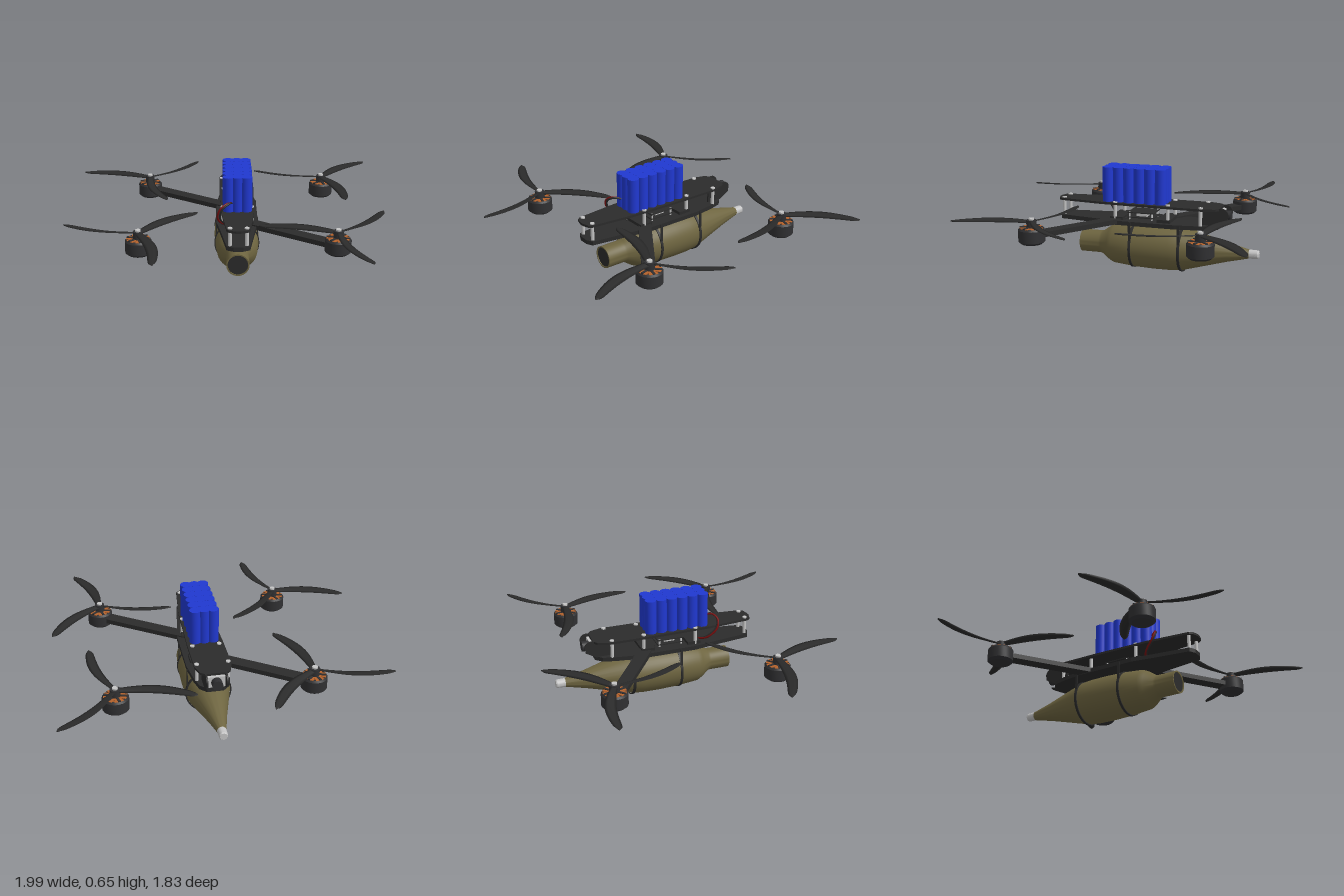
import * as THREE from 'three';
import { toCreasedNormals } from 'three/addons/utils/BufferGeometryUtils.js';

const material = (name, color) => new THREE.MeshStandardMaterial({ name, color });

export function createModel() {
  const mats = {
    carbon: material('carbon black', 0x2b2b2b),
    rubber: material('motor black', 0x303032),
    olive: material('olive paint', 0x6e6540),
    blue: material('battery blue', 0x2038d0),
    metal: material('light metal', 0xc4c4c4),
    copper: material('copper windings', 0xb4622c),
    red: material('red wire', 0x7a1010),
  };
  const CX = 0.055; // centre line of the body
  const model = new THREE.Group();
  model.name = 'quadcopter';

  const add = (parent, name, geometry, mat, x = 0, y = 0, z = 0) => {
    const mesh = new THREE.Mesh(geometry, mat);
    mesh.name = name;
    mesh.position.set(x, y, z);
    parent.add(mesh);
    return mesh;
  };
  const box = (w, h, d) => new THREE.BoxGeometry(w, h, d);
  const cyl = (r, h, n = 16) => new THREE.CylinderGeometry(r, r, h, n);
  const lathe = (pts, n = 48) => toCreasedNormals(
    new THREE.LatheGeometry(pts.map(([r, y]) => new THREE.Vector2(r, y)), n), 0.45);

  // Frame plates: symmetric outline given as [half width, z]
  const plate = (name, outline, top, thickness) => {
    const right = outline.map(([w, z]) => new THREE.Vector2(w, z));
    const left = outline.map(([w, z]) => new THREE.Vector2(-w, z)).reverse();
    const geo = new THREE.ExtrudeGeometry(new THREE.Shape([...right, ...left]),
      { depth: thickness, bevelEnabled: false });
    geo.rotateX(Math.PI / 2);
    add(model, name, geo, mats.carbon, CX, top, 0);
  };
  plate('topPlate', [[0.06, -0.55], [0.09, -0.53], [0.112, -0.46], [0.112, -0.2],
    [0.1, 0.2], [0.07, 0.48], [0.055, 0.5], [0.015, 0.512]], 0.432, 0.014);
  plate('bottomPlate', [[0.05, -0.54], [0.09, -0.5], [0.11, -0.42], [0.13, -0.28],
    [0.13, 0.1], [0.105, 0.24], [0.07, 0.48], [0.03, 0.5]], 0.325, 0.026);

  // Standoffs with screw heads
  for (const [w, z] of [[0.095, -0.44], [0.083, -0.23], [0.09, 0.11], [0.05, 0.468]]) {
    for (const side of [-1, 1]) {
      add(model, 'standoff', cyl(0.011, 0.095), mats.metal, CX + side * w, 0.371, z);
      add(model, 'screwHead', cyl(0.014, 0.008), mats.metal, CX + side * w, 0.435, z);
    }
  }

  // Two diagonal arms
  for (const [x0, z0, x1, z1] of [[-0.535, -0.57, 0.04, -0.175], [0.645, 0.45, 0.07, 0.055]]) {
    const arm = add(model, 'arm', box(Math.hypot(x1 - x0, z1 - z0), 0.03, 0.08),
      mats.carbon, (x0 + x1) / 2, 0.318, (z0 + z1) / 2);
    arm.rotation.y = -Math.atan2(z1 - z0, x1 - x0);
  }

  // Curved, twisted blade lofted from lens-shaped sections along +x
  const bladeGeometry = (dir) => {
    const pos = [], idx = [], N = 22, K = 6;
    for (let i = 0; i <= N; i++) {
      const t = i / N;
      const r = 0.012 + 0.463 * t;
      const centre = dir * 0.034 * Math.sin(Math.PI * Math.min(1, t * 1.02));
      const taper = t > 0.88 ? Math.sqrt(Math.max(0.03, 1 - ((t - 0.88) / 0.12) ** 2)) : 1;
      const chord = (0.034 + 0.034 * Math.sin(Math.PI * Math.min(1, t * 0.9 + 0.02))) * taper;
      const pitch = dir * (0.28 - 0.2 * t);
      for (let k = 0; k < K; k++) {
        const a = (k / K) * Math.PI * 2;
        const u = Math.cos(a) * chord / 2, v = Math.sin(a) * 0.004;
        pos.push(r, u * Math.sin(pitch) + v * Math.cos(pitch),
          centre + u * Math.cos(pitch) - v * Math.sin(pitch));
      }
    }
    for (let i = 0; i < N; i++) for (let k = 0; k < K; k++) {
      const a = i * K + k, b = i * K + (k + 1) % K;
      idx.push(a, a + K, b, b, a + K, b + K);
    }
    for (let k = 1; k < K - 1; k++) idx.push(N * K, N * K + k + 1, N * K + k);
    const geo = new THREE.BufferGeometry();
    geo.setAttribute('position', new THREE.Float32BufferAttribute(pos, 3));
    geo.setIndex(idx);
    geo.computeVertexNormals();
    return geo;
  };
  const bladeMat = mats.carbon.clone();
  bladeMat.name = 'propeller black';
  bladeMat.side = THREE.DoubleSide;

  // Motors and propellers: x, z, bend direction, rotation in degrees
  for (const [x, z, dir, deg] of [[-0.535, -0.57, 1, 73], [0.645, -0.57, -1, 76],
    [-0.535, 0.45, -1, 76], [0.645, 0.45, 1, 73]]) {
    const motor = new THREE.Group();
    motor.name = 'motor';
    motor.position.set(x, 0, z);
    model.add(motor);
    add(motor, 'motorHousing', lathe([[0, 0.268], [0.062, 0.268], [0.079, 0.282], [0.079, 0.352],
      [0.07, 0.364], [0.062, 0.364], [0.062, 0.345], [0, 0.345]], 28), mats.rubber);
    for (let i = 0; i < 12; i++) {
      const a = i * Math.PI / 6;
      const coil = add(motor, 'winding', box(0.05, 0.02, 0.02), mats.copper,
        Math.cos(a) * 0.045, 0.355, Math.sin(a) * 0.045);
      coil.rotation.y = -a;
    }
    for (let i = 0; i < 6; i++) {
      const a = i * Math.PI / 3 + 0.26;
      const spoke = add(motor, 'spoke', box(0.05, 0.008, 0.014), mats.rubber,
        Math.cos(a) * 0.045, 0.366, Math.sin(a) * 0.045);
      spoke.rotation.y = -a;
    }
    add(motor, 'propellerHub', cyl(0.03, 0.06, 24), mats.rubber, 0, 0.38, 0);
    add(motor, 'shaftNut', cyl(0.017, 0.014, 12), mats.metal, 0, 0.413, 0);
    for (let i = 0; i < 3; i++) {
      const blade = add(motor, 'propellerBlade', bladeGeometry(dir), bladeMat, 0, 0.4, 0);
      blade.rotation.y = -THREE.MathUtils.degToRad(deg + i * 120);
    }
  }

  // Battery: rows of upright cells round a core
  const battery = new THREE.Group();
  battery.name = 'battery';
  model.add(battery);
  add(battery, 'batteryCore', box(0.13, 0.216, 0.36), mats.blue, CX, 0.541, -0.003);
  for (let i = 0; i < 3; i++) for (let j = 0; j < 6; j++) {
    add(battery, 'batteryCell', cyl(0.0355, 0.218, 20), mats.blue,
      CX + (i - 1) * 0.055, 0.541, -0.003 + (j - 2.5) * 0.0685);
  }

  // Power leads looping from the battery to the frame
  for (const [mat, s] of [[mats.red, 0], [mats.carbon, 0.014]]) {
    const path = new THREE.CatmullRomCurve3([[0.02, 0.49, 0.195], [-0.01 + s, 0.5, 0.235],
      [-0.05 + s, 0.475, 0.258], [-0.068 + s, 0.42, 0.245], [-0.045 + s, 0.36, 0.19],
      [0.02, 0.33, 0.15]].map((p) => new THREE.Vector3(...p)));
    add(model, 'powerLead', new THREE.TubeGeometry(path, 32, 0.006, 8), mat);
  }

  // Electronics stack between the plates
  for (const z of [-0.12, 0.025]) for (const side of [-1, 1]) {
    add(model, 'boardPost', cyl(0.006, 0.05, 8), mats.metal, CX + side * 0.06, 0.348, z);
  }
  for (const y of [0.34, 0.37]) {
    add(model, 'circuitBoard', box(0.14, 0.006, 0.17), mats.carbon, CX, y, -0.048);
  }
  add(model, 'controlChip', box(0.08, 0.022, 0.07), mats.metal, CX, 0.352, -0.048);
  for (const z of [-0.205, 0.1]) {
    add(model, 'armClamp', box(0.2, 0.02, 0.085), mats.carbon, CX, 0.334, z);
  }

  // Rear camera in side brackets
  const bracket = new THREE.Shape();
  bracket.moveTo(0.43, 0.3);
  bracket.lineTo(0.53, 0.32);
  bracket.lineTo(0.6, 0.36);
  bracket.absarc(0.565, 0.392, 0.04, -0.5, Math.PI / 2, false);
  bracket.lineTo(0.43, 0.432);
  for (const side of [-1, 1]) {
    const geo = new THREE.ExtrudeGeometry(bracket, { depth: 0.01, bevelEnabled: false });
    geo.rotateY(Math.PI / 2).translate(-0.005, 0, 0);
    add(model, 'cameraBracket', geo, mats.carbon, CX + side * 0.06, 0, 0);
  }
  add(model, 'cameraBody', box(0.108, 0.07, 0.07), mats.metal, CX, 0.38, -0.53);
  add(model, 'cameraLens', cyl(0.032, 0.05, 24), mats.rubber, CX, 0.38, -0.585).rotation.x = Math.PI / 2;

  // Slung payload body, lathed along z
  const payload = new THREE.Group();
  payload.name = 'payload';
  payload.position.set(CX, 0.149, 0);
  payload.rotation.x = Math.PI / 2;
  model.add(payload);
  add(payload, 'payloadBody', lathe([[0, -0.73], [0.027, -0.73], [0.06, -0.59], [0.137, -0.31],
    [0.143, -0.24], [0.144, -0.13], [0.14, 0], [0.127, 0.135], [0.112, 0.165], [0.074, 0.22],
    [0.071, 0.235], [0.071, 0.362], [0.063, 0.362], [0.063, 0.35], [0, 0.35]]), mats.olive);
  add(payload, 'payloadTip', lathe([[0, -0.787], [0.022, -0.787], [0.027, -0.78], [0.028, -0.72],
    [0, -0.72]], 24), mats.metal);
  add(payload, 'payloadEndCap', cyl(0.0625, 0.006, 40), mats.carbon, 0, 0.354, 0);

  // Straps round the payload and up to the frame
  for (const z of [0.005, -0.31]) {
    add(payload, 'strap', lathe([[0.136, -0.008], [0.1445, -0.008], [0.1445, 0.008], [0.136, 0.008]]),
      mats.carbon, 0, z, 0);
    for (const side of [-1, 1]) {
      add(model, 'strapSide', box(0.005, 0.14, 0.016), mats.carbon, CX + side * 0.131, 0.25, z);
    }
  }
  return model;
}
